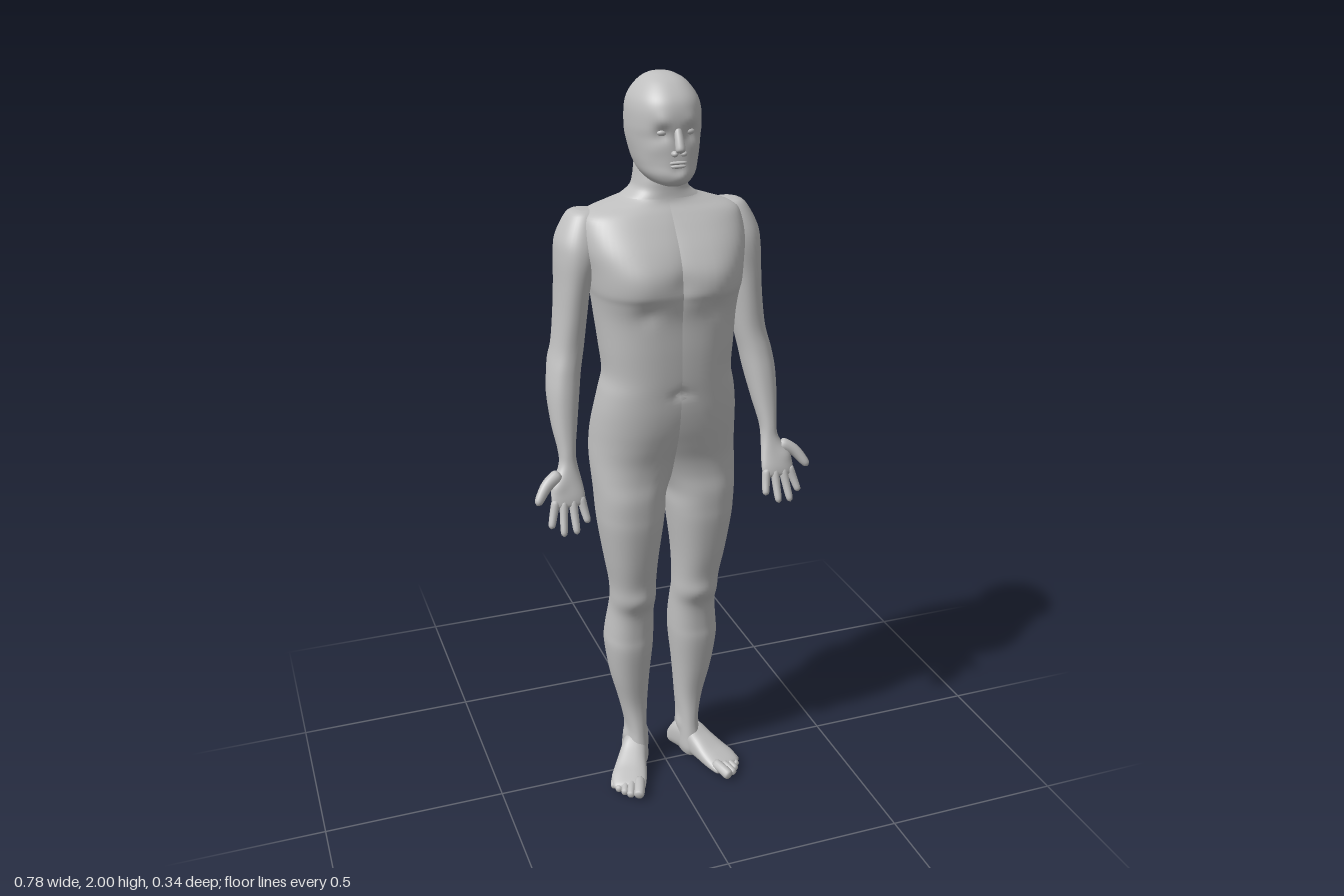
import * as THREE from 'three';
import { mergeVertices } from 'three/addons/utils/BufferGeometryUtils.js';

const skin = new THREE.MeshStandardMaterial({ color: 0xbfbfbf });
skin.name = 'grey skin';

// Catmull-Rom blend of whole rows of numbers
function rowAt(rows, t) {
  const i = Math.min(Math.floor(t), rows.length - 2), f = t - i;
  const a = rows[Math.max(i - 1, 0)], b = rows[i], c = rows[i + 1], d = rows[Math.min(i + 2, rows.length - 1)];
  return b.map((_, k) => b[k] + 0.5 * f * (c[k] - a[k] +
    f * (2 * a[k] - 5 * b[k] + 4 * c[k] - d[k] + f * (3 * (b[k] - c[k]) + d[k] - a[k]))));
}

// Closed skin over rings, top to bottom. Row: [y, x inner, x outer, z front, z back].
// Bump: [x, y, z, radius, height], swelling (or denting) the skin away from the ring centre.
function loft(rows, { segs = 40, steps = 5, power = 2.3, bumps = [] } = {}) {
  const pos = [], idx = [], n = (rows.length - 1) * steps;
  const centre = r => [(r[1] + r[2]) / 2, r[0], (r[3] + r[4]) / 2];
  const bend = v => Math.sign(v) * Math.abs(v) ** (2 / power);
  for (let i = 0; i <= n; i++) {
    const r = rowAt(rows, i / steps), [cx, y, cz] = centre(r);
    for (let j = 0; j < segs; j++) {
      const a = (j / segs) * Math.PI * 2, ca = Math.cos(a), sa = Math.sin(a);
      const x = cx + bend(ca) * (r[2] - r[1]) / 2, z = cz + bend(sa) * (r[3] - r[4]) / 2;
      let push = 0;
      for (const [bx, by, bz, rad, h] of bumps)
        push += h * Math.exp(-((x - bx) ** 2 + (y - by) ** 2 + (z - bz) ** 2) / (rad * rad));
      pos.push(x + ca * push, y, z + sa * push);
      if (i < n) {
        const A = i * segs + j, B = i * segs + (j + 1) % segs;
        idx.push(A, B, A + segs, B, B + segs, A + segs);
      }
    }
  }
  const top = pos.length / 3, last = n * segs;
  pos.push(...centre(rows[0]), ...centre(rows[rows.length - 1]));
  for (let j = 0; j < segs; j++) {
    const k = (j + 1) % segs;
    idx.push(top, k, j, top + 1, last + j, last + k);
  }
  const g = new THREE.BufferGeometry();
  g.setAttribute('position', new THREE.Float32BufferAttribute(pos, 3));
  g.setIndex(idx);
  g.computeVertexNormals();
  return g;
}

// Tapered tube with rounded ends, for fingers, toes and the nose
function digit(points, r0, r1) {
  const curve = new THREE.CatmullRomCurve3(points.map(p => new THREE.Vector3(...p)));
  const n = 18, radial = 12;
  const g = new THREE.TubeGeometry(curve, n, 1, radial);
  const p = g.attributes.position, v = new THREE.Vector3();
  for (let i = 0; i <= n; i++) {
    const t = i / n, c = curve.getPointAt(t);
    const r = (r0 + (r1 - r0) * t) * Math.sqrt(Math.max(0, 1 - (2 * t - 1) ** 8));
    for (let j = 0; j <= radial; j++) {
      const k = i * (radial + 1) + j;
      v.fromBufferAttribute(p, k).sub(c).multiplyScalar(r).add(c);
      p.setXYZ(k, v.x, v.y, v.z);
    }
  }
  g.deleteAttribute('uv');
  g.deleteAttribute('normal');
  const m = mergeVertices(g, 1e-5);
  m.computeVertexNormals();
  return m;
}

function ball(x, y, z, rx, ry, rz) {
  return new THREE.SphereGeometry(1, 20, 14).scale(rx, ry, rz).translate(x, y, z);
}

function mirrored(geo) {
  const g = geo.clone().scale(-1, 1, 1), a = g.index.array;
  for (let i = 0; i < a.length; i += 3) [a[i], a[i + 1]] = [a[i + 1], a[i]];
  g.computeVertexNormals();
  return g;
}

// Half of neck and trunk running down into the leg; the halves overlap at the middle
function trunkAndLeg() {
  const trunk = [
    [1.83, -.055, .055, -.01, -.1], [1.78, -.062, .062, .01, -.112], [1.74, -.067, .067, .02, -.117],
    [1.715, -.075, .075, .022, -.122], [1.695, -.1, .1, .025, -.128], [1.68, -.12, .145, .032, -.135],
    [1.66, -.12, .2, .05, -.142], [1.63, -.11, .215, .075, -.155], [1.58, -.1, .215, .112, -.164],
    [1.53, -.09, .205, .137, -.167], [1.48, -.09, .198, .144, -.163], [1.45, -.1, .192, .138, -.157],
    [1.4, -.12, .186, .13, -.148], [1.32, -.13, .178, .13, -.13], [1.25, -.13, .172, .128, -.118],
    [1.2, -.13, .182, .124, -.12], [1.15, -.13, .19, .12, -.135], [1.1, -.11, .195, .112, -.155],
    [1.05, -.08, .198, .1, -.166], [1, -.05, .2, .088, -.157], [.95, -.02, .199, .085, -.132]];
  const leg = [
    [.9, .002, .196, .09, -.12], [.85, .006, .193, .09, -.115], [.8, .012, .188, .088, -.11],
    [.7, .025, .172, .075, -.1], [.62, .03, .158, .06, -.092], [.57, .03, .155, .054, -.09],
    [.52, .03, .155, .035, -.105], [.45, .028, .163, .03, -.122], [.4, .03, .165, .03, -.125],
    [.3, .04, .15, .018, -.112], [.2, .047, .125, .006, -.098], [.12, .052, .11, .012, -.092],
    [.07, .05, .114, .02, -.098], [.03, .05, .116, .028, -.104], [.006, .056, .11, .02, -.097]];
  const bumps = [
    [.09, 1.51, .13, .05, .005], [.09, 1.43, .13, .028, -.007],    // chest and the fold under it
    [0, 1.5, .14, .03, -.004], [0, 1.21, .124, .014, -.01],        // breastbone, navel
    [.11, 1.56, -.15, .05, .005], [0, 1.42, -.14, .05, -.009],     // shoulder blade, spine
    [0, 1.28, -.12, .05, -.007], [.09, 1.04, -.15, .05, .004],     // small of back, buttock
    [.09, .58, .05, .03, .006], [.09, .57, -.09, .03, -.004],      // kneecap, hollow of knee
    [.05, .1, -.03, .018, .006], [.112, .09, -.04, .018, .007]];   // ankle bones
  return loft(trunk.concat(leg), { segs: 52, bumps });
}

// Arm from shoulder cap through wrist into the palm
function armAndPalm() {
  return loft([
    [1.667, .18, .215, -.04, -.09], [1.655, .155, .24, -.015, -.12], [1.6, .15, .27, .012, -.138],
    [1.55, .165, .277, .022, -.138], [1.48, .19, .279, .02, -.13], [1.4, .202, .285, .015, -.12],
    [1.32, .213, .296, .012, -.105], [1.26, .225, .311, .02, -.092], [1.2, .235, .319, .032, -.075],
    [1.12, .25, .316, .047, -.035], [1.06, .262, .308, .06, 0], [1.025, .262, .31, .067, .02],
    [.985, .256, .332, .08, .042], [.95, .252, .342, .093, .06], [.93, .254, .34, .097, .07],
    [.922, .262, .332, .094, .076]],
  { power: 2.2, bumps: [[.285, 1.28, -.09, .03, .006], [.325, .98, .08, .02, .006]] });
}

// Foot lofted heel to toe along its own z, then turned outwards
function footParts() {
  const place = g => g.rotateY(.384).translate(.082, 0, -.03);
  const rows = [ // [along, x inner, x outer, sole, top]
    [.168, -.03, .045, .008, .022], [.16, -.036, .056, .002, .03], [.13, -.038, .064, 0, .042],
    [.1, -.037, .06, 0, .054], [.06, -.034, .05, 0, .076], [.02, -.034, .04, 0, .1],
    [-.03, -.035, .035, 0, .095], [-.06, -.03, .03, 0, .06], [-.072, -.016, .016, .012, .036]];
  const foot = loft(rows.map(([s, a, b, lo, hi]) => [s, a, b, -lo, -hi]), { power: 2.5 });
  const parts = { foot: place(foot.rotateX(Math.PI / 2)) };
  [[-.02, .206, .0155], [.004, .201, .0115], [.022, .19, .011], [.04, .176, .0105], [.055, .16, .01]]
    .forEach(([x, z, r], i) => {
      parts['toe' + (i + 1)] = place(digit([[x * .9, r + .012, z - .07], [x, r + .008, z - .03], [x, r, z]], r, r));
    });
  return parts;
}

function handParts() {
  const parts = {};
  const fingers = { // base, tip
    indexFinger: [[.33, .945, .08], [.352, .872, .104]], middleFinger: [[.31, .945, .082], [.322, .851, .119]],
    ringFinger: [[.287, .945, .082], [.287, .853, .12]], littleFinger: [[.265, .945, .08], [.253, .875, .107]]
  };
  for (const [name, [a, b]] of Object.entries(fingers)) {
    const mid = a.map((v, k) => (v + b[k]) / 2 + (k === 2 ? -.002 : 0));
    parts[name] = digit([a, mid, b], .0125, .0095);
  }
  parts.thumb = digit([[.31, 1.005, .055], [.35, .982, .069], [.385, .938, .09]], .02, .011);
  return parts;
}

function headGeometry() {
  const rows = [ // [y, half width, front, back]
    [2, .008, -.02, -.04], [1.995, .03, .01, -.07], [1.98, .055, .045, -.1], [1.95, .078, .078, -.13],
    [1.92, .088, .092, -.142], [1.88, .09, .095, -.145], [1.85, .088, .09, -.142], [1.82, .083, .091, -.13],
    [1.79, .076, .094, -.115], [1.765, .066, .097, -.09], [1.745, .048, .09, -.06], [1.736, .028, .075, -.03]];
  const bumps = [
    [.036, 1.868, .085, .02, -.011], [-.036, 1.868, .085, .02, -.011],   // eye sockets
    [.036, 1.895, .09, .018, .004], [-.036, 1.895, .09, .018, .004],     // brows
    [.055, 1.83, .07, .025, .003], [-.055, 1.83, .07, .025, .003],       // cheekbones
    [0, 1.778, .096, .012, -.004], [0, 1.757, .096, .018, .004]];        // lip fold, chin
  return loft(rows.map(([y, w, f, b]) => [y, -w, w, f, b]), { segs: 64, steps: 7, bumps });
}

export function createModel() {
  const model = new THREE.Group();
  model.name = 'standingFigure';
  const add = (parent, name, geo) => {
    const mesh = new THREE.Mesh(geo, skin);
    mesh.name = name;
    parent.add(mesh);
  };

  // Head and the face parts on the centre line
  const head = new THREE.Group();
  head.name = 'headGroup';
  model.add(head);
  add(head, 'head', headGeometry());
  add(head, 'nose', digit([[0, 1.882, .084], [0, 1.85, .1], [0, 1.822, .111]], .009, .0135));
  add(head, 'upperLip', ball(0, 1.797, .092, .023, .0045, .0075));
  add(head, 'lowerLip', ball(0, 1.788, .092, .02, .005, .0075));

  // Parts made once and mirrored
  const parts = {
    trunkAndLeg: trunkAndLeg(), armAndPalm: armAndPalm(), ...handParts(), ...footParts(),
    eye: ball(.035, 1.868, .071, .014, .0085, .011), nostril: ball(.0115, 1.82, .098, .0085, .0075, .011)
  };
  const left = new THREE.Group(), right = new THREE.Group();
  left.name = 'leftSide';
  right.name = 'rightSide';
  model.add(left, right);
  for (const [name, geo] of Object.entries(parts)) {
    add(left, name, geo);
    add(right, name, mirrored(geo));
  }
  return model;
}
